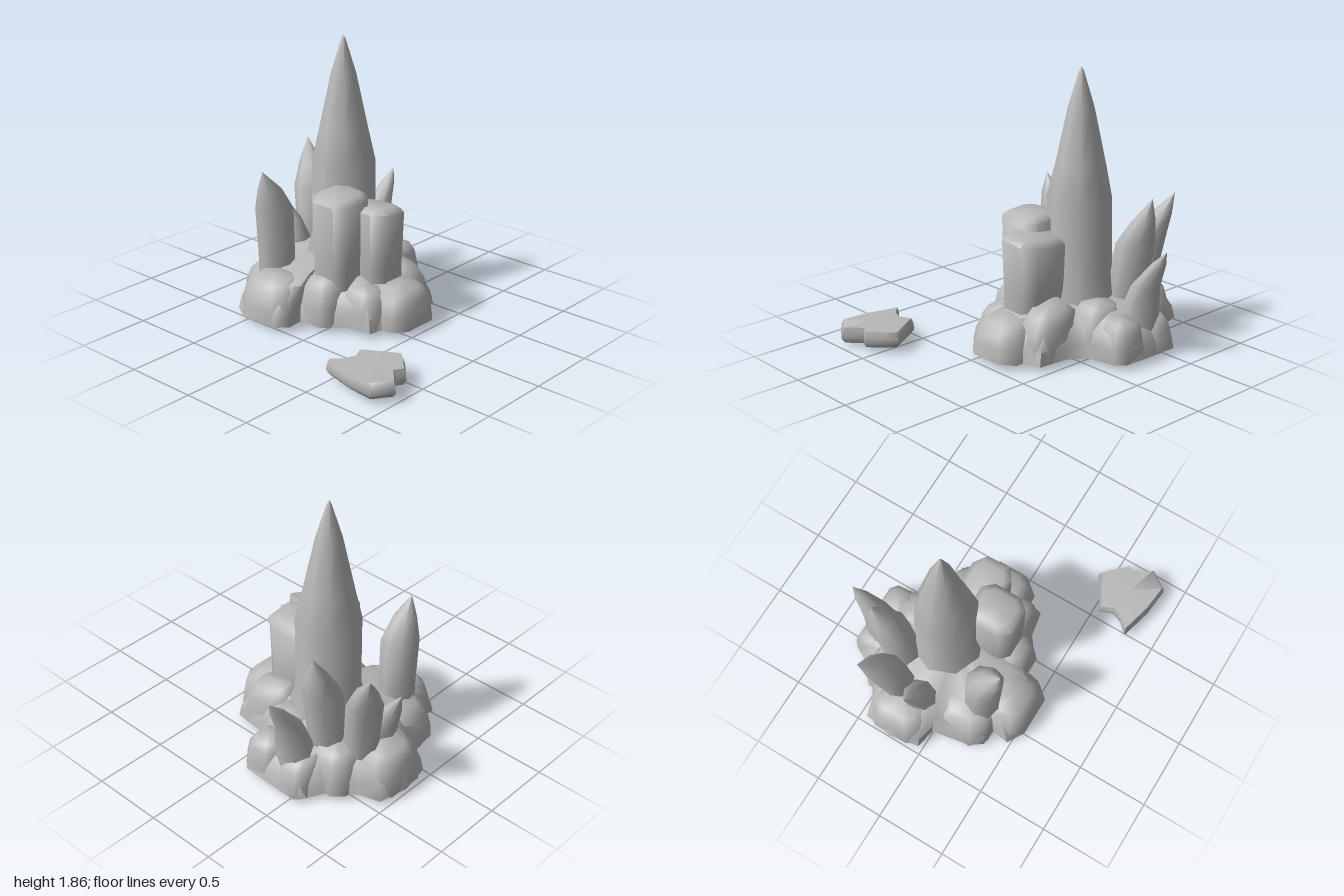
import * as THREE from 'three';
import { toCreasedNormals } from 'three/addons/utils/BufferGeometryUtils.js';

const stone = new THREE.MeshStandardMaterial({ color: 0xb8b8b8 });
stone.name = 'grey stone';

// Skin a stack of equal rings (bottom to top), closed by a point at each end
function loft(name, rings, bottom, top, crease) {
  const n = rings[0].length;
  const index = [];
  const b = rings.length * n, t = b + 1, last = b - n;
  for (let j = 0; j < n; j++) {
    const k = (j + 1) % n;
    for (let i = 0; i < rings.length - 1; i++) {
      const lo = i * n, hi = lo + n;
      index.push(lo + j, hi + j, lo + k, lo + k, hi + j, hi + k);
    }
    index.push(j, k, b, last + j, t, last + k);
  }
  const geo = new THREE.BufferGeometry();
  geo.setAttribute('position', new THREE.Float32BufferAttribute([...rings.flat(), bottom, top].flat(), 3));
  geo.setIndex(index);
  const mesh = new THREE.Mesh(toCreasedNormals(geo, crease), stone);
  mesh.name = name;
  return mesh;
}

// Ring of n points from a start step; power below 1 squares it off, tilts slope its height
function ring(x, y, z, rx, rz, n, start = 0, power = 1, tiltX = 0, tiltZ = 0) {
  const bend = v => Math.sign(v) * Math.abs(v) ** power;
  return Array.from({ length: n }, (_, i) => {
    const a = (i + start) / n * Math.PI * 2;
    const dx = rx * bend(Math.cos(a)), dz = rz * bend(Math.sin(a));
    return [x + dx, y + dx * tiltX + dz * tiltZ, z + dz];
  });
}

// Pointed crystal through sections [x, y, z, radiusX, radiusZ]
function crystal(name, sections, tip) {
  const [x, y, z] = sections[0];
  return loft(name, sections.map(s => ring(...s, 8)), [x, y, z], tip, 1.2);
}

// Squarish block from x and z ranges; steps are [height, scale, share of slope]
function block(name, x0, x1, z0, z1, top, tiltX, tiltZ, steps) {
  const x = (x0 + x1) / 2, z = (z0 + z1) / 2, rx = (x1 - x0) / 2, rz = (z1 - z0) / 2;
  const rings = steps.map(([y, s, k]) => ring(x, y, z, rx * s, rz * s, 8, 0.5, 0.62, tiltX * k, tiltZ * k));
  return loft(name, rings, [x, steps[0][0], z], [x, top, z], 1.15);
}

// Boulder with sloping sides and rounded shoulders
const boulder = (name, x0, x1, z0, z1, h, tiltX, tiltZ) => block(name, x0, x1, z0, z1, h, tiltX, tiltZ,
  [[0.04, 1.04, 0], [h * 0.45, 0.98, 0.2], [h * 0.8, 0.85, 1], [h * 0.96, 0.6, 1]]);

// Upright column with a bevelled, sloping top
const column = (name, x0, x1, z0, z1, h, tiltX, tiltZ) => block(name, x0, x1, z0, z1, h, tiltX, tiltZ,
  [[0.1, 0.98, 0], [0.4, 0.97, 0], [h - 0.04, 1.03, 1], [h - 0.005, 0.75, 1]]);

export function createModel() {
  const model = new THREE.Group();
  model.name = 'crystalCluster';

  // Low rock mound under everything
  const outline = [
    [0.03, -0.96], [0.24, -1], [0.45, -0.96], [0.49, -0.82], [0.62, -0.66], [0.79, -0.57], [0.81, -0.42],
    [0.8, -0.15], [0.74, -0.06], [0.55, -0.02], [0.47, 0.1], [0.45, 0.31], [0.33, 0.34], [0.24, 0.47],
    [0, 0.47], [-0.08, 0.33], [-0.2, 0.31], [-0.23, 0.14], [-0.32, 0.02], [-0.36, -0.17], [-0.47, -0.15],
    [-0.55, -0.22], [-0.55, -0.5], [-0.48, -0.62], [-0.36, -0.6], [-0.35, -0.71], [-0.27, -0.77], [0, -0.82],
  ];
  const cx = 0.14, cz = -0.27;
  const slice = (y, s) => outline.map(([x, z]) => [cx + (x - cx) * s, y, cz + (z - cz) * s]);
  model.add(loft('rockBase', [
    slice(0.02, 0.6), slice(0.04, 1), slice(0.13, 0.97), slice(0.22, 0.89), slice(0.28, 0.78), slice(0.33, 0.6),
  ], [cx, 0.005, cz], [cx, 0.38, cz], 1.15));

  // Boulders round the rim: x range, z range, height, slopes
  const rocks = [
    [-0.1, 0.33, 0.12, 0.475, 0.3, 0, -0.12],
    [-0.21, 0.06, 0.0, 0.32, 0.3, 0.1, -0.15],
    [0.18, 0.46, -0.1, 0.32, 0.37, -0.2, -0.2],
    [-0.35, -0.02, -0.24, 0.07, 0.35, 0.15, 0],
    [-0.55, -0.22, -0.6, -0.16, 0.32, 0.25, 0],
    [-0.36, 0.06, -0.78, -0.3, 0.33, 0.1, 0.12],
    [0.02, 0.46, -0.99, -0.6, 0.32, 0, 0.05],
    [0.54, 0.8, -0.34, -0.06, 0.3, -0.15, 0],
    [0.47, 0.81, -0.6, -0.34, 0.28, -0.15, 0],
    [0.3, 0.62, -0.36, -0.02, 0.37, -0.1, -0.05],
    [0.3, 0.63, -0.77, -0.42, 0.33, -0.1, 0.1],
  ];
  rocks.forEach((r, i) => model.add(boulder(`rimRock${i + 1}`, ...r)));

  // Tall central spire, flaring slightly into the mound
  model.add(crystal('centralSpire', [
    [0.2, 0.1, -0.28, 0.27, 0.27], [0.2, 0.36, -0.28, 0.25, 0.25], [0.2, 0.5, -0.28, 0.216, 0.212],
    [0.195, 1.0, -0.275, 0.215, 0.212], [0.2, 1.22, -0.28, 0.165, 0.165],
    [0.2, 1.6, -0.28, 0.085, 0.085], [0.2, 1.83, -0.28, 0.016, 0.016],
  ], [0.2, 1.86, -0.28]));

  // Blunt columns in front of the spire, the front one running back into it
  model.add(column('rearColumn', -0.235, 0.11, -0.23, 0.085, 0.89, 0.03, -0.05));
  model.add(column('frontColumn', -0.04, 0.27, -0.17, 0.255, 0.795, -0.12, 0.08));

  // Smaller leaning crystals
  model.add(crystal('rightSideCrystal', [
    [-0.22, 0.1, -0.51, 0.12, 0.115], [-0.22, 0.4, -0.51, 0.125, 0.12],
    [-0.235, 0.72, -0.51, 0.13, 0.125], [-0.285, 0.87, -0.5, 0.085, 0.075],
  ], [-0.35, 1.005, -0.5]));
  model.add(crystal('leftSideCrystal', [
    [0.43, 0.1, -0.49, 0.13, 0.12], [0.44, 0.38, -0.49, 0.13, 0.125],
    [0.495, 0.7, -0.5, 0.13, 0.13], [0.55, 0.86, -0.515, 0.075, 0.08],
  ], [0.61, 1.02, -0.53]));
  model.add(crystal('backTallCrystal', [
    [0.33, 0.1, -0.68, 0.115, 0.115], [0.34, 0.35, -0.7, 0.115, 0.115],
    [0.375, 0.66, -0.75, 0.12, 0.12], [0.43, 0.82, -0.81, 0.075, 0.075],
  ], [0.485, 0.965, -0.885]));
  model.add(crystal('backShortCrystal', [
    [0.16, 0.1, -0.68, 0.12, 0.11], [0.16, 0.33, -0.7, 0.115, 0.105],
    [0.155, 0.48, -0.76, 0.085, 0.08],
  ], [0.16, 0.67, -0.87]));
  model.add(crystal('leftLowCrystal', [
    [0.61, 0.1, -0.4, 0.15, 0.135], [0.64, 0.3, -0.4, 0.125, 0.125],
    [0.685, 0.48, -0.4, 0.095, 0.095], [0.79, 0.65, -0.4, 0.05, 0.05],
  ], [0.86, 0.75, -0.4]));

  // Loose flat stone with a hollow underside
  const chip = [
    [-0.79, 0.47], [-0.72, 0.54], [-0.64, 0.57], [-0.55, 0.53], [-0.41, 0.77], [-0.46, 0.83],
    [-0.57, 0.93], [-0.63, 0.89], [-0.74, 0.99], [-0.87, 0.9], [-0.85, 0.7],
  ];
  const chipSlice = (y, s) => chip.map(([x, z]) => [-0.66 + (x + 0.66) * s, y, 0.74 + (z - 0.74) * s]);
  model.add(loft('looseStone', [
    chipSlice(0.09, 0.4), chipSlice(0.045, 0.65), chipSlice(0.035, 0.9), chipSlice(0.065, 1),
    chipSlice(0.11, 0.98), chipSlice(0.145, 0.92),
  ], [-0.66, 0.1, 0.74], [-0.66, 0.15, 0.74], 1.15));

  return model;
}
